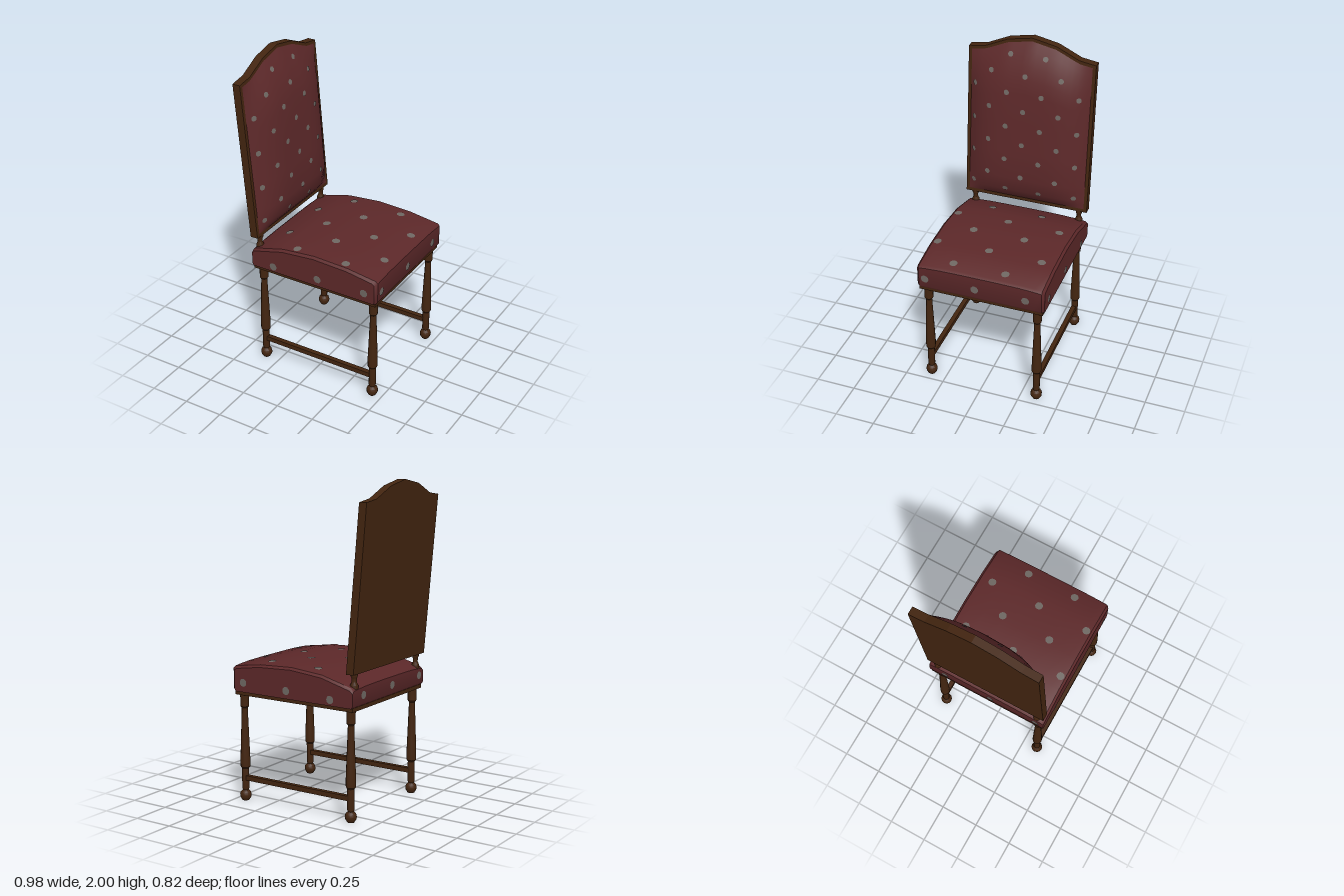
import * as THREE from 'three';
import { toCreasedNormals } from 'three/addons/utils/BufferGeometryUtils.js';

const wood = new THREE.MeshStandardMaterial({ color: 0x432510, name: 'dark wood' });
const fabric = new THREE.MeshStandardMaterial({ color: 0x5c2829, name: 'red fabric' });
const dotGrey = new THREE.MeshStandardMaterial({ color: 0x6e6762, name: 'grey dots' });

// Straight-line interpolation through [t, value] pairs
function lerpTable(table, t) {
  for (let i = 1; i < table.length; i++) {
    const [t0, v0] = table[i - 1], [t1, v1] = table[i];
    if (t <= t1) return v0 + (v1 - v0) * Math.max(0, (t - t0) / (t1 - t0));
  }
  return table[table.length - 1][1];
}

function add(parent, name, geometry, material, x = 0, y = 0, z = 0) {
  const mesh = new THREE.Mesh(geometry, material);
  mesh.name = name;
  mesh.position.set(x, y, z);
  parent.add(mesh);
  return mesh;
}

// Flat disc lying on a surface with the given normal
function addDot(parent, radius, point, normal) {
  normal.normalize();
  const dot = add(parent, 'dot', new THREE.CircleGeometry(radius, 12), dotGrey);
  dot.position.copy(point).addScaledVector(normal, 0.004);
  dot.quaternion.setFromUnitVectors(new THREE.Vector3(0, 0, 1), normal);
}

// Seat cushion: side profile lofted across the width
const seatCurve = [[-0.39, 0.815], [-0.37, 0.832], [-0.17, 0.885], [0.05, 0.905],
  [0.28, 0.895], [0.47, 0.868], [0.485, 0.855]];
const crown = z => 0.012 * Math.pow(Math.abs(z) / 0.39, 4);
const seatTop = (x, z) => lerpTable(seatCurve, x) - crown(z);

function seatGeometry() {
  const profile = [[-0.39, 0.715], [-0.38, 0.7], [0.475, 0.7], [0.485, 0.715],
    ...[...seatCurve].reverse()];
  const stations = [-0.405, -0.39, -0.34, -0.25, -0.12, 0, 0.12, 0.25, 0.34, 0.39, 0.405];
  const n = profile.length, pos = [], idx = [];
  stations.forEach(z => {
    const end = Math.abs(z) > 0.4;
    profile.forEach(([x, y]) => {
      const px = end && x > 0.46 ? x - 0.016 : x;
      const py = y > 0.8 ? y - crown(z) - (end ? 0.012 : 0) : y;
      pos.push(px, py, z);
    });
  });
  for (let i = 0; i < stations.length - 1; i++) {
    for (let j = 0; j < n; j++) {
      const a = i * n + j, b = i * n + (j + 1) % n;
      idx.push(a, b, a + n, b, b + n, a + n);
    }
  }
  // End caps as fans
  const low = pos.length / 3, last = (stations.length - 1) * n;
  pos.push(0.04, 0.78, -0.405, 0.04, 0.78, 0.405);
  for (let j = 0; j < n; j++) {
    const k = (j + 1) % n;
    idx.push(low, k, j, low + 1, last + j, last + k);
  }
  const geo = new THREE.BufferGeometry();
  geo.setAttribute('position', new THREE.Float32BufferAttribute(pos, 3));
  geo.setIndex(idx);
  return toCreasedNormals(geo, 0.6);
}

// Leaning back: arched outline and the bulging pad in front of it
const arch = [[0, 2], [0.155, 1.97], [0.3, 1.905], [0.405, 1.89]];
const archTop = z => lerpTable(arch, Math.abs(z));
const lean = y => -0.0864 * (y - 0.9);
const padRows = [[0, 0], [0.03, 0.3], [0.066, 0.55], [0.17, 1], [0.35, 1], [0.54, 1],
  [0.717, 0.97], [0.8, 0.83], [0.877, 0.62], [0.95, 0.28], [1, 0]];
const PAD_BOTTOM = 0.922, PAD_HALF = 0.384;
const padTop = z => archTop(z) - 0.02;
function padX(y, z) {
  const across = 1 - Math.pow(Math.min(1, Math.abs(z) / PAD_HALF), 4);
  const up = lerpTable(padRows, (y - PAD_BOTTOM) / (padTop(z) - PAD_BOTTOM));
  return -0.344 + lean(y) + 0.092 * across * up;
}

function padGeometry() {
  const cols = 20, rows = padRows.length - 1;
  const geo = new THREE.PlaneGeometry(1, 1, cols, rows);
  const p = geo.attributes.position;
  for (let i = 0; i < p.count; i++) {
    const z = -p.getX(i) * 2 * PAD_HALF;
    const v = padRows[rows - Math.floor(i / (cols + 1))][0];
    const y = PAD_BOTTOM + v * (padTop(z) - PAD_BOTTOM);
    p.setXYZ(i, padX(y, z), y, z);
  }
  geo.computeVertexNormals();
  return geo;
}

function backPanelGeometry() {
  const shape = new THREE.Shape();
  shape.moveTo(-0.405, 0.9);
  shape.lineTo(0.405, 0.9);
  [...arch].reverse().forEach(([z, y]) => shape.lineTo(z, y));
  arch.slice(1).forEach(([z, y]) => shape.lineTo(-z, y));
  const geo = new THREE.ExtrudeGeometry(shape, { depth: 0.05, bevelEnabled: false });
  geo.rotateY(Math.PI / 2);
  const p = geo.attributes.position;
  for (let i = 0; i < p.count; i++) p.setX(i, p.getX(i) - 0.395 + lean(p.getY(i)));
  geo.computeVertexNormals();
  return geo;
}

function turned(points, sides = 12) {
  const geo = new THREE.LatheGeometry(points.map(([r, y]) => new THREE.Vector2(r, y)), sides);
  return toCreasedNormals(geo, 0.6);
}

export function createModel() {
  const chair = new THREE.Group();
  chair.name = 'chair';

  // Turned legs, side stretchers and short posts that carry the back
  const legGeo = turned([[0, 0], [0.022, 0], [0.034, 0.02], [0.036, 0.035], [0.032, 0.052],
    [0.018, 0.066], [0.022, 0.075], [0.022, 0.205], [0.03, 0.215], [0.031, 0.25], [0.029, 0.31],
    [0.019, 0.575], [0.019, 0.59], [0.027, 0.6], [0.027, 0.66], [0.03, 0.685]]);
  const postGeo = turned([[0.024, 0.78], [0.024, 0.83], [0.015, 0.85], [0.015, 0.87],
    [0.021, 0.885], [0.021, 0.915]]);
  for (const side of [-1, 1]) {
    const z = 0.35 * side;
    add(chair, 'rearLeg', legGeo, wood, -0.345, 0, z);
    add(chair, 'frontLeg', legGeo, wood, 0.435, 0, z);
    add(chair, 'stretcher', new THREE.BoxGeometry(0.76, 0.03, 0.03), wood, 0.045, 0.145, z);
    add(chair, 'backPost', postGeo, wood, -0.366, 0, z);
  }

  // Seat
  add(chair, 'seatBoard', new THREE.BoxGeometry(0.855, 0.024, 0.79), wood, 0.043, 0.69, 0);
  add(chair, 'seatCushion', seatGeometry(), fabric);

  // Back
  add(chair, 'backPanel', backPanelGeometry(), wood);
  add(chair, 'backPad', padGeometry(), fabric);

  const V = (x, y, z) => new THREE.Vector3(x, y, z);
  // Dots on the seat top, in staggered rows
  const seatDots = new THREE.Group();
  seatDots.name = 'seatDots';
  chair.add(seatDots);
  [-0.252, -0.087, 0.08, 0.25, 0.415].forEach((x, row) => {
    for (const z of row % 2 ? [-0.31, 0.025, 0.36] : [-0.14, 0.19]) {
      const slopeX = (seatTop(x + 0.02, z) - seatTop(x - 0.02, z)) / 0.04;
      const slopeZ = (seatTop(x, z + 0.02) - seatTop(x, z - 0.02)) / 0.04;
      addDot(seatDots, 0.025, V(x, seatTop(x, z), z), V(-slopeX, 1, -slopeZ));
    }
  });
  // Dots around the seat sides
  [[-0.235, 0.737], [0.08, 0.75], [0.4, 0.76]].forEach(([x, y]) => {
    for (const s of [-1, 1]) addDot(seatDots, 0.025, V(x, y, 0.405 * s), V(0, 0, s));
  });
  for (const z of [-0.29, 0.03, 0.35]) {
    addDot(seatDots, 0.025, V(0.485, 0.772, z), V(1, 0, 0));
    addDot(seatDots, 0.025, V(-0.39, 0.765, z), V(-1, 0, 0));
  }

  // Dots on the back pad, in staggered rows
  const backDots = new THREE.Group();
  backDots.name = 'backDots';
  chair.add(backDots);
  for (let row = 0; row < 9; row++) {
    const y = 1.005 + row * 0.1112;
    const full = row === 8 ? [0.122, -0.1] : [0.345, 0.122, -0.1, -0.322];
    for (const z of row % 2 ? [0.235, 0.012, -0.21] : full) {
      const slopeY = (padX(y + 0.015, z) - padX(y - 0.015, z)) / 0.03;
      const slopeZ = (padX(y, z + 0.015) - padX(y, z - 0.015)) / 0.03;
      addDot(backDots, 0.017, V(padX(y, z), y, z), V(1, -slopeY, -slopeZ));
    }
  }
  return chair;
}
